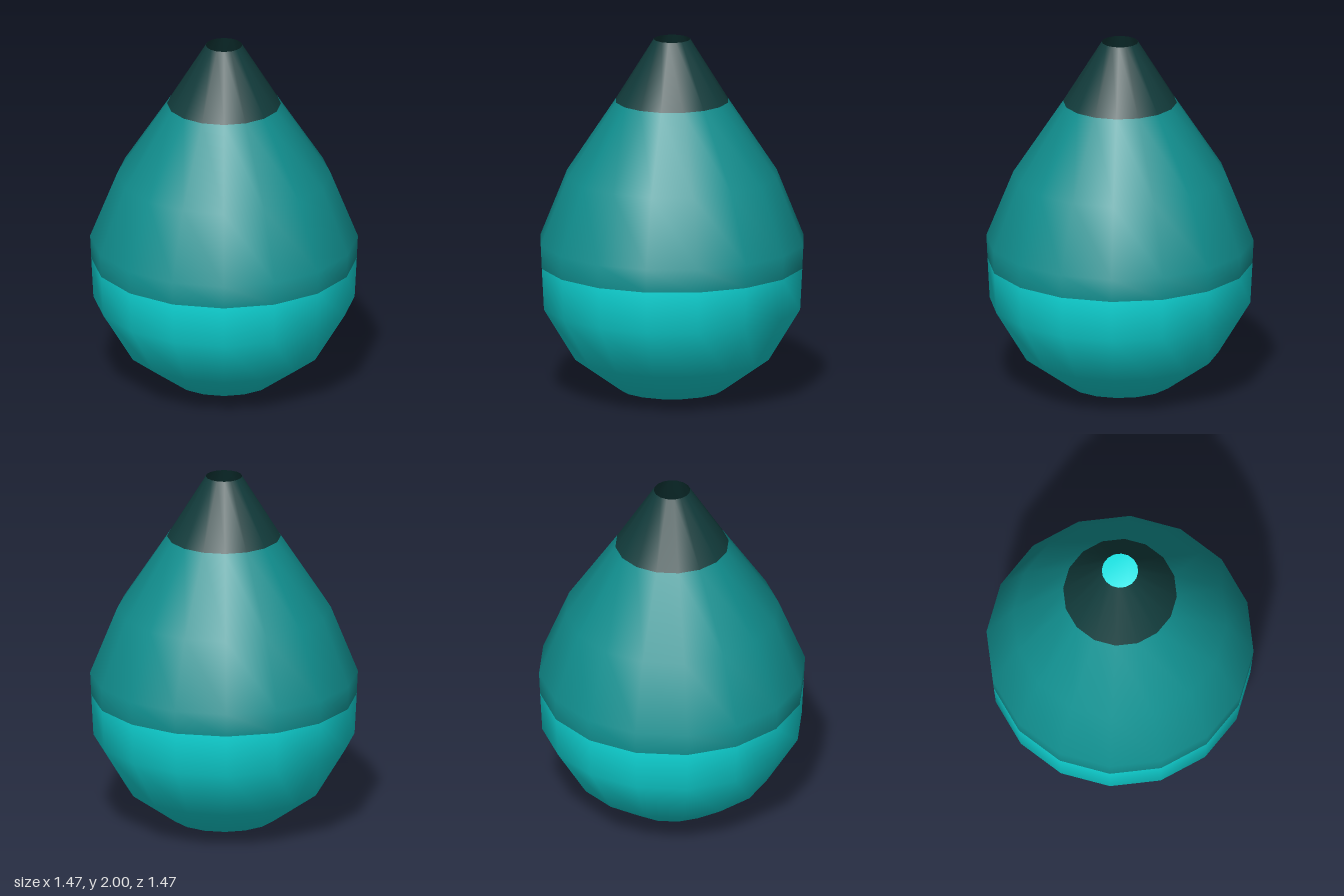
import * as THREE from 'three';

// Radius and height from the base up to the open neck
const PROFILE = [
  [0, 0], [0.29, 0.04], [0.54, 0.22], [0.715, 0.51], [0.727, 0.74],
  [0.733, 0.87], [0.585, 1.24], [0.312, 1.655], [0.1, 2],
];
const SIDES = 16;

function material(name, color) {
  const m = new THREE.MeshStandardMaterial({ color, side: THREE.DoubleSide });
  m.name = name;
  return m;
}

// One colour band of the shell: keeps the profile rows from..to, with shared smooth normals
function band(shell, from, to) {
  const geometry = shell.clone();
  const n = PROFILE.length;
  const index = [];
  for (let i = 0; i < SIDES; i++) {
    for (let j = from; j < to; j++) {
      const a = i * n + j, b = a + n;
      if (j > 0) index.push(a, b, a + 1);
      index.push(b + 1, a + 1, b);
    }
  }
  geometry.setIndex(index);
  return geometry;
}

export function createModel() {
  const model = new THREE.Group();
  model.name = 'dropVase';
  const shell = new THREE.LatheGeometry(PROFILE.map(([r, y]) => new THREE.Vector2(r, y)), SIDES);

  const parts = [
    ['bowl', 0, 4, material('brightCyan', 0x10e0e0)],
    ['body', 4, 7, material('teal', 0x119090)],
    ['neck', 7, 8, material('darkTeal', 0x123c3c)],
  ];
  for (const [name, from, to, mat] of parts) {
    const mesh = new THREE.Mesh(band(shell, from, to), mat);
    mesh.name = name;
    model.add(mesh);
  }
  return model;
}
